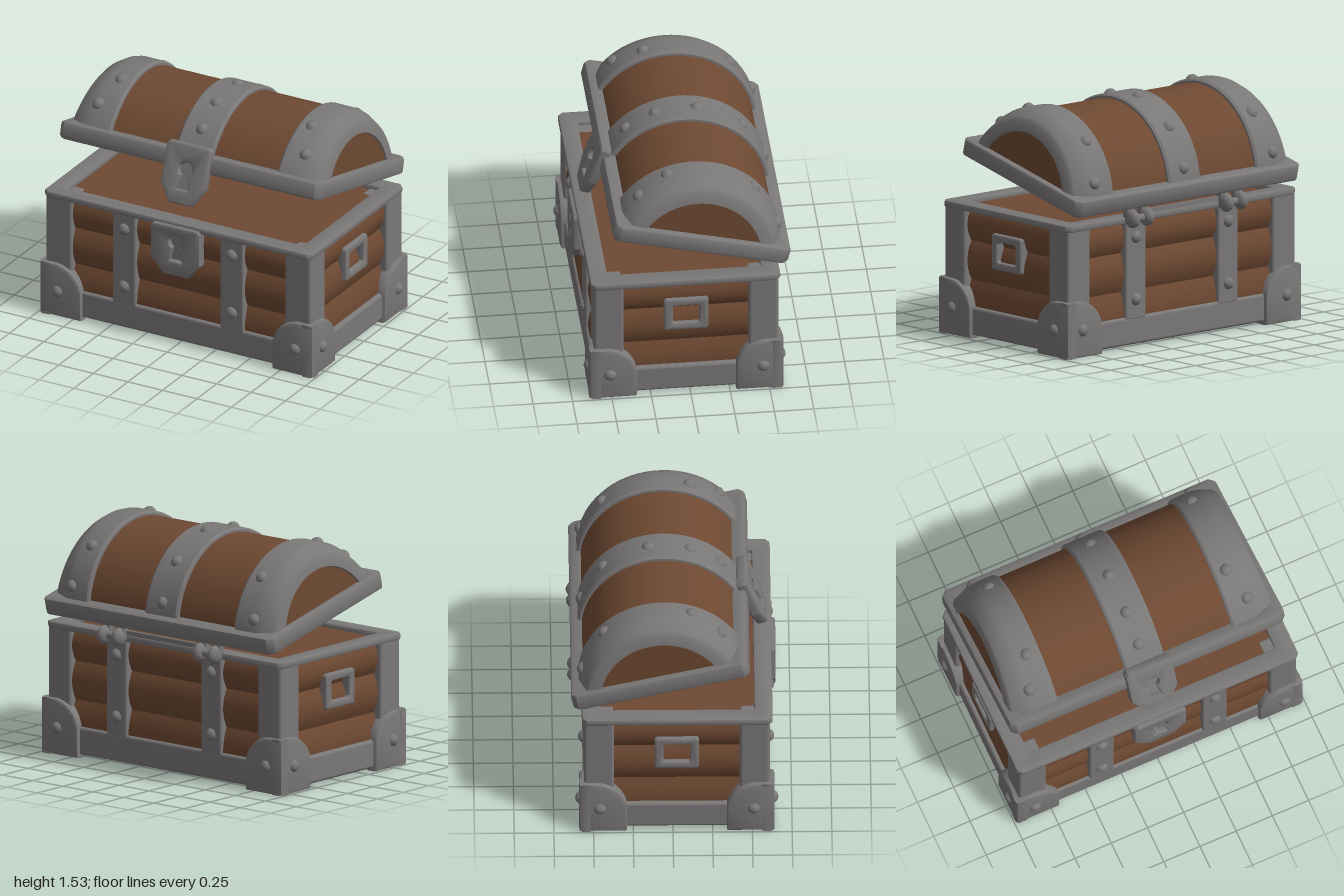
import * as THREE from 'three';
import { toCreasedNormals } from 'three/addons/utils/BufferGeometryUtils.js';
import { RoundedBoxGeometry } from 'three/addons/geometries/RoundedBoxGeometry.js';

const CZ = 0.025;          // z centre of the base
const LID_R = 0.546;       // outer radius of the lid bands
const LID_V = -0.066;      // height of the lid's arc centre, in lid space

export function createModel() {
  const iron = new THREE.MeshStandardMaterial({ color: 0x7a7777 });
  iron.name = 'iron';
  const wood = new THREE.MeshStandardMaterial({ color: 0x6e4932, side: THREE.DoubleSide });
  wood.name = 'wood';

  const chest = new THREE.Group();
  chest.name = 'chest';
  const base = new THREE.Group();
  base.name = 'base';
  base.position.z = CZ;
  const lid = new THREE.Group();
  lid.name = 'lid';
  lid.position.set(0, 1.03, -0.065);
  lid.rotation.x = -0.232;
  chest.add(base, lid);

  function add(parent, name, geo, mat, x = 0, y = 0, z = 0) {
    const mesh = new THREE.Mesh(geo, mat);
    mesh.name = name;
    mesh.position.set(x, y, z);
    parent.add(mesh);
    return mesh;
  }
  const bar = (w, h, d, r = 0.02) => new RoundedBoxGeometry(w, h, d, 3, r);

  // Bevelled plate of thickness t, centred on z = 0
  function plate(shape, t, b) {
    const geo = new THREE.ExtrudeGeometry(shape, {
      depth: t - 2 * b, bevelThickness: b, bevelSize: b, bevelOffset: -b, bevelSegments: 2, curveSegments: 12,
    });
    geo.translate(0, 0, b - t / 2);
    return toCreasedNormals(geo, 0.6);
  }

  // Rectangle with cut corners; hw and hh are half sizes
  const rect = (hw, hh, c) => [
    [-hw + c, -hh], [hw - c, -hh], [hw, -hh + c], [hw, hh - c],
    [hw - c, hh], [-hw + c, hh], [-hw, hh - c], [-hw, -hh + c],
  ].map(([x, y]) => new THREE.Vector2(x, y));

  function frame(hw, hh, holeW, holeH, t, b, cut) {
    const shape = new THREE.Shape(rect(hw, hh, cut));
    shape.holes.push(new THREE.Path(rect(holeW, holeH, 0.01)));
    return plate(shape, t, b);
  }

  const rivetGeo = new THREE.SphereGeometry(0.043, 16, 10);
  const rivet = (parent, x, y, z) => add(parent, 'rivet', rivetGeo, iron, x, y, z);

  // Bulging planks, each running round the whole body
  [[0.05, 0.36], [0.36, 0.61], [0.61, 0.82]].forEach(([y0, y1]) => {
    const h = y1 - y0;
    const geo = new THREE.BoxGeometry(1.8, h, 1.07, 1, 10, 1);
    const p = geo.attributes.position;
    for (let i = 0; i < p.count; i++) {
      const t = p.getY(i) / (h / 2);
      const bulge = 0.035 * (1 - t * t);
      p.setX(i, p.getX(i) + Math.sign(p.getX(i)) * bulge);
      p.setZ(i, p.getZ(i) + Math.sign(p.getZ(i)) * bulge);
    }
    geo.computeVertexNormals();
    add(base, 'plank', geo, wood, 0, (y0 + y1) / 2, 0);
  });

  // Bottom rails, corner posts, straps and side handles
  for (const s of [-1, 1]) {
    add(base, 'longRail', bar(1.9, 0.18, 0.2), iron, 0, 0.11, s * 0.488);
    add(base, 'shortRail', bar(0.2, 0.18, 1.15), iron, s * 0.865, 0.11, 0);
    for (const t of [-1, 1]) {
      add(base, 'cornerPost', bar(0.19, 0.65, 0.19), iron, s * 0.865, 0.5, t * 0.49);
      add(base, 'strap', bar(0.17, 0.64, 0.07, 0.015), iron, s * 0.39, 0.5, t * 0.555);
      rivet(base, s * 0.39, 0.31, t * 0.575);
      rivet(base, s * 0.39, 0.71, t * 0.575);
    }
    const handle = add(base, 'handle', frame(0.14, 0.115, 0.085, 0.065, 0.07, 0.015, 0.012), iron, s * 0.93, 0.585, 0);
    handle.rotation.y = s * Math.PI / 2;
  }

  // Top rim around the wooden top
  const rim = add(base, 'topRim', frame(0.97, 0.6, 0.85, 0.485, 0.045, 0.012, 0.03), iron, 0, 0.828, 0.003);
  rim.rotation.x = -Math.PI / 2;

  // Corner guards: two equal rounded legs, turned for each corner
  const legShape = new THREE.Shape();
  legShape.moveTo(0, 0);
  legShape.lineTo(0, 0.36);
  legShape.lineTo(-0.12, 0.36);
  legShape.bezierCurveTo(-0.21, 0.35, -0.29, 0.28, -0.3, 0.19);
  legShape.lineTo(-0.3, 0);
  const legA = plate(legShape, 0.09, 0.02).translate(0, 0, -0.045);
  const legB = plate(legShape, 0.09, 0.02).translate(0, 0, 0.045).rotateY(-Math.PI / 2);
  [[1, 1], [1, -1], [-1, -1], [-1, 1]].forEach(([sx, sz], k) => {
    const guard = new THREE.Group();
    guard.name = 'cornerGuard';
    guard.position.set(sx * 0.99, 0, sz * 0.615);
    guard.rotation.y = k * Math.PI / 2;
    add(guard, 'guardLeg', legA, iron);
    add(guard, 'guardLeg', legB, iron);
    add(guard, 'guardFoot', bar(0.29, 0.05, 0.29, 0.01), iron, -0.15, 0.026, -0.15);
    rivet(guard, -0.13, 0.175, -0.018);
    rivet(guard, -0.018, 0.175, -0.13);
    base.add(guard);
  });

  // Shield-shaped plate with a keyhole cut in it
  function lockPlate(name, hw, hh, keyY) {
    const group = new THREE.Group();
    group.name = name;
    const shape = new THREE.Shape([
      [-hw, -0.07], [-hw * 0.5, -hh], [hw * 0.5, -hh], [hw, -0.07],
      [hw, hh - 0.02], [hw - 0.02, hh], [-hw + 0.02, hh], [-hw, hh - 0.02],
    ].map(([x, y]) => new THREE.Vector2(x, y)));
    const key = new THREE.Path();
    key.absarc(0, keyY, 0.046, -1.05, Math.PI + 1.05, false);
    key.lineTo(-0.045, keyY - 0.13);
    key.lineTo(0.045, keyY - 0.13);
    key.closePath();
    shape.holes.push(key);
    add(group, 'shield', plate(shape, 0.075, 0.018), iron);
    add(group, 'keyholeBack', new THREE.BoxGeometry(0.16, 0.24, 0.03), iron, 0, keyY - 0.04, -0.015);
    chest.add(group);
    return group;
  }
  lockPlate('lock', 0.178, 0.172, 0.06).position.set(0, 0.658, 0.617);
  const hasp = lockPlate('hasp', 0.16, 0.195, 0.03);
  hasp.position.set(0, 1.14, 0.505);
  hasp.rotation.x = -0.36;

  // Lid rim
  const lidRim = add(lid, 'lidRim', frame(0.945, 0.57, 0.8, 0.46, 0.115, 0.022, 0.035), iron, 0, 0.058, 0);
  lidRim.rotation.x = -Math.PI / 2;

  // Arc swept over the lid from [radius, x] points; outer ends splay towards the rim
  function arch(points) {
    const start = 0.233;
    let geo = new THREE.LatheGeometry(points.map(([r, x]) => new THREE.Vector2(r, x)), 32,
      start - Math.PI, Math.PI - 2 * start);
    geo.rotateZ(-Math.PI / 2).translate(0, LID_V, 0);
    return toCreasedNormals(splay(geo), 0.6);
  }
  function splay(geo) {
    const p = geo.attributes.position;
    for (let i = 0; i < p.count; i++) {
      const x = p.getX(i);
      if (Math.abs(x) > 0.82) p.setX(i, x + Math.sign(x) * 0.05 * (1 - p.getY(i) / 0.48));
    }
    return geo;
  }

  // Barrel top, middle band, end bands and end panels
  add(lid, 'barrelTop', arch([[0.52, -0.8], [0.52, 0.8]]), wood);
  add(lid, 'middleBand', arch([[0.5, -0.135], [0.535, -0.135], [LID_R, -0.12], [LID_R, 0.12], [0.535, 0.135], [0.5, 0.135]]), iron);
  const endProfile = [[0.5, 0.6], [0.535, 0.6], [LID_R, 0.615], [LID_R, 0.76], [0.535, 0.8], [0.5, 0.855], [0.48, 0.87], [0.41, 0.875], [0.395, 0.84]];
  add(lid, 'endBand', arch(endProfile), iron);
  add(lid, 'endBand', arch(endProfile.map(([r, x]) => [r, -x]).reverse()), iron);
  for (const s of [-1, 1]) {
    const panel = new THREE.Shape();
    panel.absarc(0, LID_V, 0.408, 0.3, Math.PI - 0.3, false);
    const geo = new THREE.ShapeGeometry(panel, 24).rotateY(s * Math.PI / 2).translate(s * 0.862, 0, 0);
    add(lid, 'endPanel', splay(geo), wood);
  }

  // Lid rivets: degrees round the arc, offset of the end-band rivets
  [[35.5, 0.75], [58.5, 0.69], [87, 0], [122, 0.7], [152, 0.75]].forEach(([deg, x]) => {
    const a = THREE.MathUtils.degToRad(deg);
    const r = LID_R - 0.018;
    for (const px of x ? [-x, 0, x] : [0]) rivet(lid, px, LID_V + r * Math.sin(a), r * Math.cos(a));
  });

  // Hinges: paired knuckles behind the rim, with a strip between them
  const knuckle = new THREE.SphereGeometry(0.06, 12, 10).scale(0.65, 1, 1);
  for (const s of [-1, 1]) {
    for (const x of [0.335, 0.455]) {
      add(chest, 'hingeKnuckle', knuckle, iron, s * x, 0.84, -0.602);
      add(chest, 'hingeLeaf', bar(0.07, 0.12, 0.05, 0.012), iron, s * x, 0.87, -0.57);
    }
    add(chest, 'hingePin', new THREE.CylinderGeometry(0.025, 0.025, 0.15, 12).rotateZ(Math.PI / 2), iron, s * 0.395, 0.84, -0.602);
  }
  add(chest, 'hingeStrip', new THREE.BoxGeometry(0.66, 0.03, 0.02), iron, 0, 0.865, -0.56);

  return chest;
}
